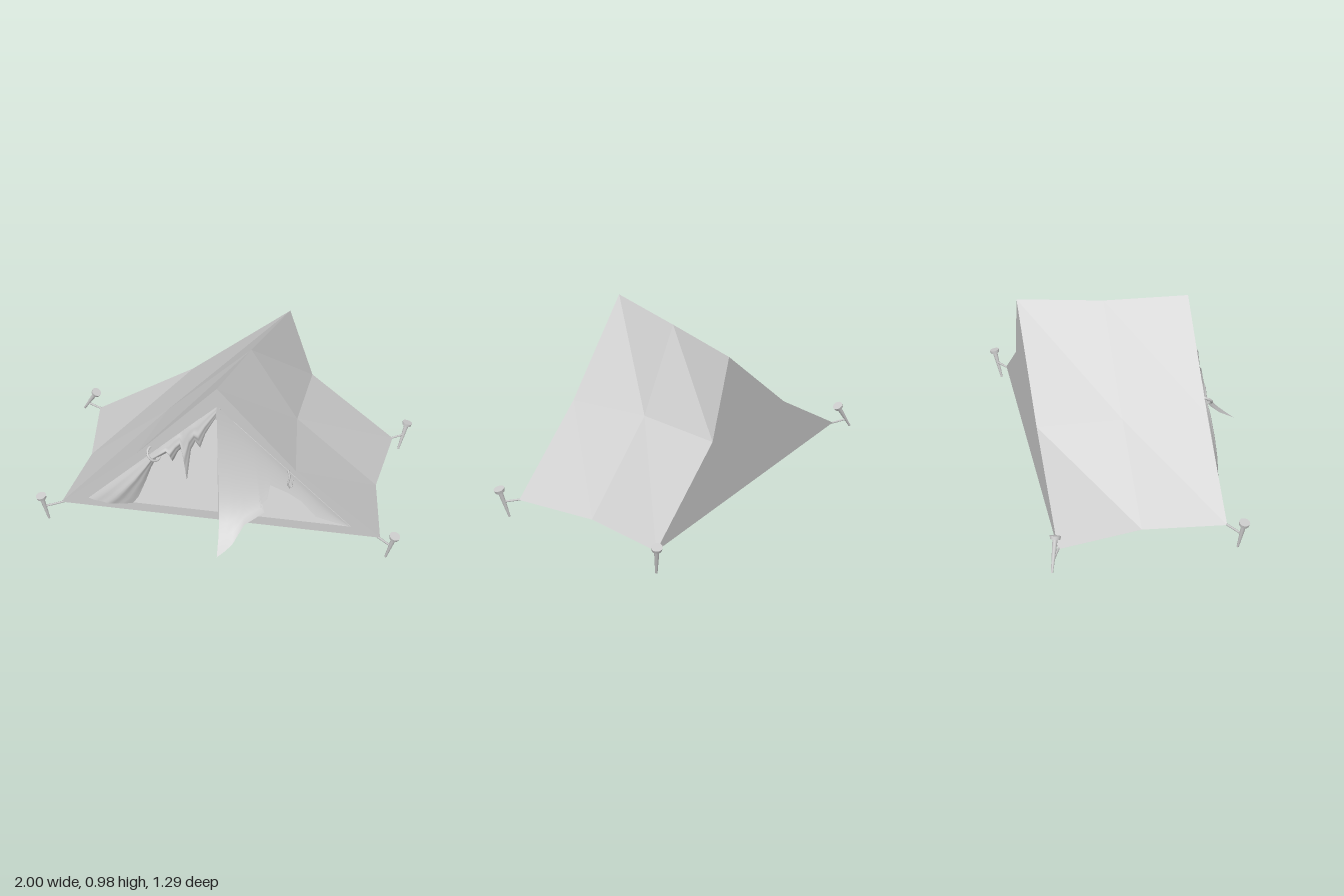
import * as THREE from 'three';

const V = (x, y, z) => new THREE.Vector3(x, y, z);
const FRONT = 0.33, BACK = -0.56, MID = -0.11;

const cloth = (flatShading = false) =>
  new THREE.MeshStandardMaterial({ color: 0xcccccc, side: THREE.DoubleSide, flatShading });
const metal = new THREE.MeshStandardMaterial({ color: 0xcccccc });

function part(parent, name, geometry, material) {
  const mesh = new THREE.Mesh(geometry, material);
  mesh.name = name;
  parent.add(mesh);
  return mesh;
}

// Surface through rows of points that all have the same length
function sheet(rows) {
  const n = rows[0].length, index = [];
  for (let i = 0; i < rows.length - 1; i++) {
    for (let j = 0; j < n - 1; j++) {
      const a = i * n + j, b = a + n;
      index.push(a, b, a + 1, b, b + 1, a + 1);
    }
  }
  const g = new THREE.BufferGeometry().setFromPoints(rows.flat());
  g.setIndex(index);
  g.computeVertexNormals();
  return g;
}

// Round bar between two points
function bar(parent, name, from, to, rTop, rBottom, sides = 10) {
  const dir = to.clone().sub(from);
  const mesh = part(parent, name, new THREE.CylinderGeometry(rTop, rBottom, dir.length(), sides), metal);
  mesh.position.copy(from).lerp(to, 0.5);
  mesh.quaternion.setFromUnitVectors(V(0, 1, 0), dir.normalize());
  return mesh;
}

// Tent cross-sections: base, side fold, ridge, side fold, base
const sections = [
  { z: FRONT, p: [[-0.88, 0.1], [-0.44, 0.5], [0, 0.98], [0.42, 0.5], [0.89, 0.1]] },
  { z: MID, p: [[-0.82, 0.1], [-0.36, 0.48], [0.11, 0.94], [0.37, 0.51], [0.83, 0.1]] },
  { z: BACK, p: [[-0.88, 0.1], [-0.3, 0.46], [0.26, 0.92], [0.4, 0.5], [0.89, 0.1]] },
];

function addShell(group) {
  const rows = sections.map(s => s.p.map(([x, y]) => V(x, y, s.z)));
  part(group, 'roof', sheet(rows.map(r => r.slice().reverse())), cloth(true));
  part(group, 'floor', sheet(rows.map(r => [r[0], r[4]])), cloth(true));

  const outline = s => new THREE.Shape(s.p.map(([x, y]) => new THREE.Vector2(x, y)));
  const front = outline(sections[0]);
  front.holes.push(new THREE.Path([[-0.72, 0.155], [0, 0.87], [0.73, 0.155]]
    .map(([x, y]) => new THREE.Vector2(x, y))));
  part(group, 'frontWall', new THREE.ShapeGeometry(front), cloth()).position.z = FRONT;
  part(group, 'backWall', new THREE.ShapeGeometry(outline(sections[2])), cloth()).position.z = BACK;
}

// Torn door: hangs from the sloping edge and curls outward at its free corner
function addTornDoor(group) {
  // x on the sloping edge, then the matching point on the torn edge
  const columns = [
    [0, 0.05, 0.105], [0.06, 0.085, 0.12], [0.1, 0.12, 0.14], [0.14, 0.17, 0.21],
    [0.19, 0.27, 0.265], [0.22, 0.24, 0.295], [0.26, 0.28, 0.335], [0.3, 0.29, 0.41],
    [0.39, 0.39, 0.36], [0.46, 0.46, 0.31], [0.54, 0.54, 0.22], [0.62, 0.63, 0.185],
    [0.73, 0.73, 0.155],
  ];
  const steps = 14;
  const rows = columns.map(([tx, bx, by]) => {
    const ty = 0.87 - tx * 0.979;
    return Array.from({ length: steps + 1 }, (_, i) => {
      const v = i / steps;
      const x = tx + (bx - tx) * v * v, y = ty + (by - ty) * v;
      const s = (0.87 - y) / 0.765;
      const t = Math.min(1, s > 0.001 ? x / (0.819 * s) / 0.914 : 0);
      const curl = 0.305 * (0.6 * s ** 2.2 + 0.4 * s ** 10) * (1 - t * t) ** 1.5;
      return V(x, y, FRONT + 0.004 + curl);
    });
  });
  part(group, 'tornDoor', sheet(rows), cloth());
}

// Gathered door: rolled along the sloping edge, cinched by a tie, spread below it
function addGatheredDoor(group) {
  // x on the sloping edge, free-edge x and y, bulge
  const folds = [
    [0, -0.005, 0.8, 0.004], [-0.06, -0.06, 0.69, 0.02], [-0.1, -0.09, 0.59, 0.025],
    [-0.12, -0.115, 0.63, 0.025], [-0.15, -0.14, 0.57, 0.025], [-0.18, -0.165, 0.36, 0.03],
    [-0.2, -0.185, 0.58, 0.025], [-0.23, -0.21, 0.55, 0.025], [-0.26, -0.24, 0.48, 0.03],
    [-0.28, -0.26, 0.54, 0.028], [-0.32, -0.3, 0.51, 0.025], [-0.36, -0.33, 0.49, 0.022],
    [-0.41, -0.36, 0.42, 0.03], [-0.5, -0.39, 0.33, 0.036], [-0.6, -0.42, 0.25, 0.036],
    [-0.66, -0.44, 0.2, 0.03], [-0.72, -0.47, 0.155, 0.025],
  ];
  const steps = 14;
  const rows = folds.map(([ox, ix, iy, bulge]) => {
    const oy = 0.87 + 0.993 * ox;
    return Array.from({ length: steps + 1 }, (_, i) => {
      const v = i / steps;
      const z = FRONT + 0.004 + bulge * Math.sin(Math.PI * v) * (1 + 0.15 * Math.sin(5 * Math.PI * v));
      return V(ox + (ix - ox) * v, oy + (iy - oy) * v, z);
    });
  });
  part(group, 'gatheredDoor', sheet(rows), cloth());

  const ring = new THREE.TorusGeometry(0.04, 0.007, 8, 24);
  ring.rotateY(1.15).rotateZ(Math.PI / 4).translate(-0.34, 0.525, FRONT + 0.012);
  part(group, 'doorTie', ring, metal);
}

// Loose tie and centre zip of the torn door
function addTrim(group) {
  const loop = new THREE.CatmullRomCurve3([
    V(0.38, 0.5, FRONT), V(0.39, 0.47, 0.35), V(0.385, 0.42, 0.358),
    V(0.4, 0.4, 0.35), V(0.405, 0.44, 0.335),
  ]);
  part(group, 'looseTie', new THREE.TubeGeometry(loop, 16, 0.005, 6), metal);
  const zip = new THREE.BoxGeometry(0.015, 0.7, 0.006).translate(0.01, 0.505, FRONT - 0.002);
  part(group, 'zip', zip, metal);
}

// Peg with a flat head, and a cord to the tent corner
function addPeg(group, name, head, foot, corner) {
  const peg = new THREE.Group();
  peg.name = name;
  const up = head.clone().sub(foot).normalize();
  bar(peg, 'shaft', foot, head, 0.014, 0.006);
  bar(peg, 'head', head.clone().addScaledVector(up, -0.008), head.clone().addScaledVector(up, 0.01), 0.029, 0.026, 16);
  const knot = foot.clone().lerp(head, (0.1 - foot.y) / (head.y - foot.y));
  bar(peg, 'cord', corner, knot, 0.006, 0.006, 6);
  group.add(peg);
}

export function createModel() {
  const tent = new THREE.Group();
  tent.name = 'tent';
  addShell(tent);
  addTornDoor(tent);
  addGatheredDoor(tent);
  addTrim(tent);
  addPeg(tent, 'frontLeftPeg', V(0.967, 0.172, 0.395), V(0.928, 0.005, 0.37), V(0.87, 0.1, FRONT - 0.01));
  addPeg(tent, 'frontRightPeg', V(-0.974, 0.172, 0.39), V(-0.948, 0.005, 0.37), V(-0.86, 0.1, FRONT - 0.01));
  addPeg(tent, 'backLeftPeg', V(0.965, 0.172, -0.618), V(0.928, 0.005, -0.588), V(0.87, 0.1, BACK + 0.01));
  addPeg(tent, 'backRightPeg', V(-0.905, 0.198, -0.576), V(-0.993, 0.05, -0.612), V(-0.86, 0.1, BACK + 0.01));
  return tent;
}
